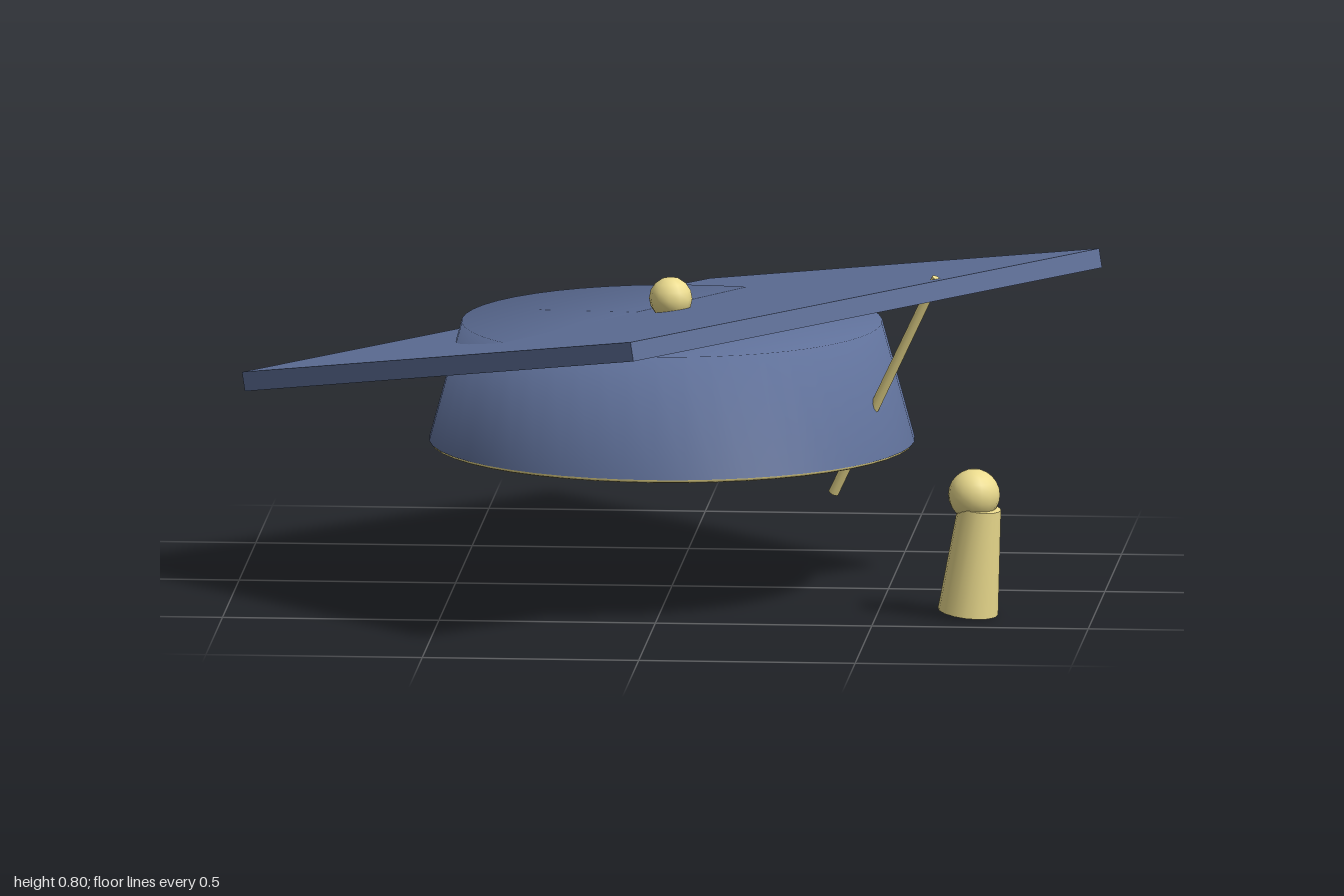
import * as THREE from 'three';

export function createModel() {
  const model = new THREE.Group();
  const blue = new THREE.MeshStandardMaterial({ color: 0x5f7099, side: THREE.DoubleSide });
  const gold = new THREE.MeshStandardMaterial({ color: 0xecdc8e });

  const add = (name, geometry, material, x = 0, y = 0, z = 0, parent = model) => {
    const mesh = new THREE.Mesh(geometry, material);
    mesh.name = name;
    mesh.position.set(x, y, z);
    parent.add(mesh);
    return mesh;
  };

  // Tapered cylinder running between two points
  const rod = (name, from, to, rTop, rBottom, sides, parent) => {
    const a = new THREE.Vector3(...from), b = new THREE.Vector3(...to);
    const axis = a.clone().sub(b);
    const mid = a.clone().add(b).multiplyScalar(0.5);
    const mesh = add(name, new THREE.CylinderGeometry(rTop, rBottom, axis.length(), sides), gold, mid.x, mid.y, mid.z, parent);
    mesh.quaternion.setFromUnitVectors(new THREE.Vector3(0, 1, 0), axis.normalize());
    return mesh;
  };

  // Skull cap: flared wall closed by a flat crown, open below
  const profile = [[0.56, 0.345], [0.485, 0.62], [0, 0.62]].map(([r, y]) => new THREE.Vector2(r, y));
  add('cap', new THREE.LatheGeometry(profile, 48), blue);

  // Gold band around the opening
  const band = new THREE.TorusGeometry(0.55, 0.009, 8, 48).rotateX(Math.PI / 2);
  add('rimBand', band, gold, 0, 0.346, 0);

  // Square board, set cornerwise and tilted in two directions
  const board = add('board', new THREE.BoxGeometry(1.418, 0.045, 1.418).rotateY(Math.PI / 4), blue, 0, 0.6225, 0);
  board.rotation.set(-0.1, 0, 0.158, 'ZYX');

  // Button on the middle of the board
  add('button', new THREE.SphereGeometry(0.05, 12, 8), gold, -0.003, 0.673, 0);

  // Cord hanging from the board
  rod('cord', [0.632, 0.776, 0.27], [0.385, 0.25, 0.157], 0.011, 0.012, 8, model);

  // Tassel: round knot above a flared skirt
  const tassel = new THREE.Group();
  tassel.name = 'tassel';
  model.add(tassel);
  add('tasselKnot', new THREE.SphereGeometry(0.06, 16, 12), gold, 0.725, 0.285, 0.352, tassel);
  rod('tasselSkirt', [0.738, 0.256, 0.36], [0.71, 0.01, 0.34], 0.05, 0.07, 16, tassel);

  return model;
}
